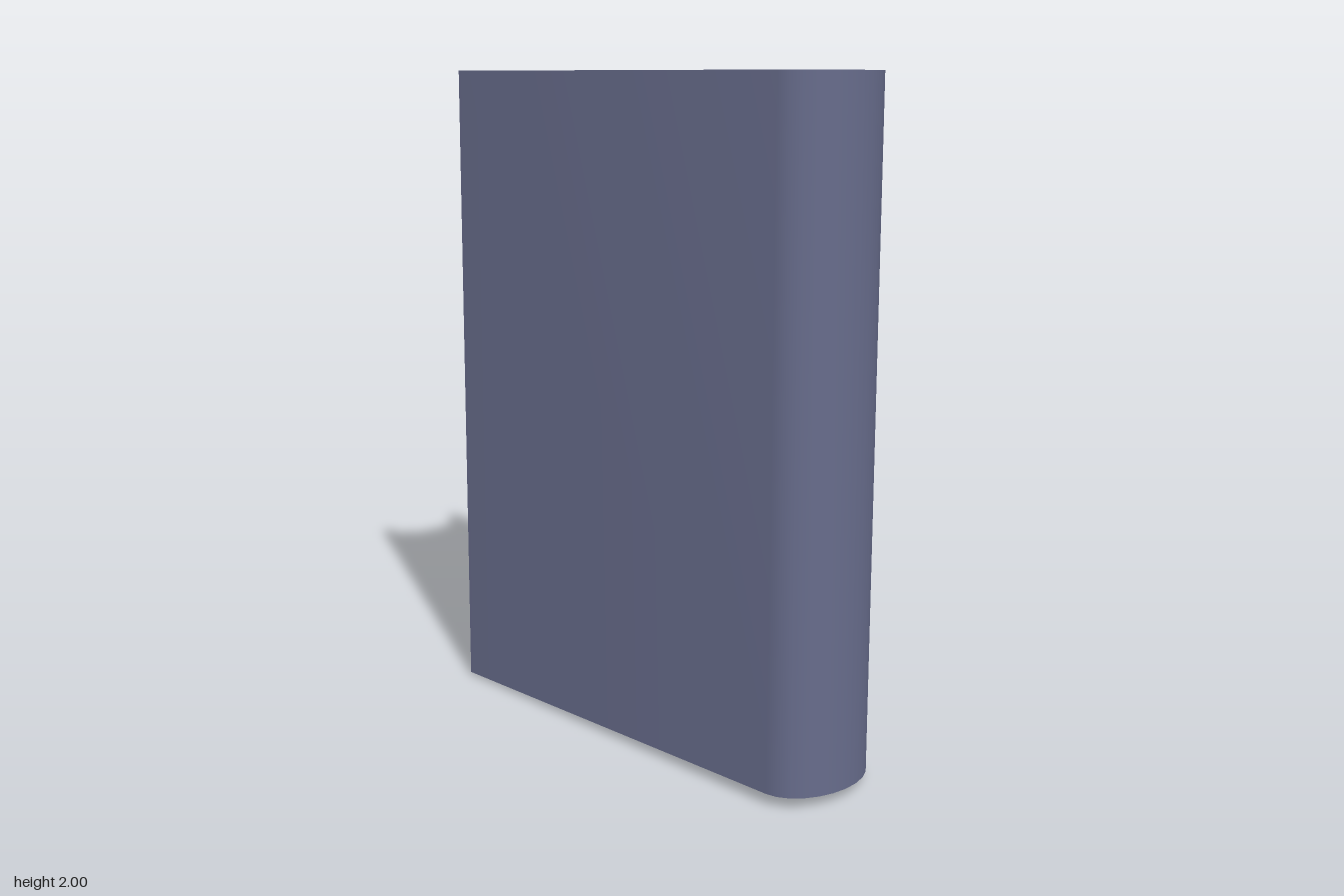
import * as THREE from 'three';
import { toCreasedNormals } from 'three/addons/utils/BufferGeometryUtils.js';

const HEIGHT = 1.965;
const BACK = -0.665;        // free edges of the covers
const SPINE = 0.665;        // where the rounded spine begins
const LIP = 0.025;          // covers stand this far past the pages

// Half ellipse around the spine, from right (+x) to left (-x)
function spineArc(halfWidth, depth, steps = 12) {
  return Array.from({ length: steps + 1 }, (_, i) => {
    const a = (i / steps) * Math.PI;
    return [halfWidth * Math.cos(a), SPINE + depth * Math.sin(a)];
  });
}

// Stand a plan outline of [x, z] points up as a prism
function prism(points, height, y, material, name) {
  const shape = new THREE.Shape(points.map(([x, z]) => new THREE.Vector2(x, -z)));
  const geometry = new THREE.ExtrudeGeometry(shape, { depth: height, bevelEnabled: false });
  geometry.rotateX(-Math.PI / 2).translate(0, y, 0);
  const mesh = new THREE.Mesh(toCreasedNormals(geometry, 0.7), material);
  mesh.name = name;
  return mesh;
}

export function createModel() {
  const slate = new THREE.MeshStandardMaterial({ color: 0x666b8a });
  slate.name = 'slate blue';

  const outer = 0.188, inner = 0.153;
  const innerArc = spineArc(inner, 0.1);

  // U-shaped cover: two boards joined by the rounded spine
  const cover = prism([
    [outer, BACK], ...spineArc(outer, 0.13), [-outer, BACK],
    [-inner, BACK], ...[...innerArc].reverse(), [inner, BACK],
  ], HEIGHT, 0, slate, 'cover');

  // Page block with a hollow fore edge
  const foreEdge = [];
  for (let i = 0; i <= 10; i++) {
    const t = -1 + i / 5;
    foreEdge.push([inner * t, BACK + 0.105 - 0.06 * t * t]);
  }
  const pages = prism([...innerArc, ...foreEdge], HEIGHT - 2 * LIP, LIP, slate, 'pages');

  // Turned a little to its left and leaning slightly
  const book = new THREE.Group();
  book.name = 'book';
  book.add(cover, pages);
  book.rotation.set(-0.0229, 0.181, -0.0178, 'XZY');

  // Centre and stand on the ground
  const model = new THREE.Group();
  model.name = 'closedBook';
  model.add(book);
  model.updateMatrixWorld(true);
  const box = new THREE.Box3().setFromObject(model, true);
  const centre = box.getCenter(new THREE.Vector3());
  book.position.set(-centre.x, -box.min.y, -centre.z);
  return model;
}
